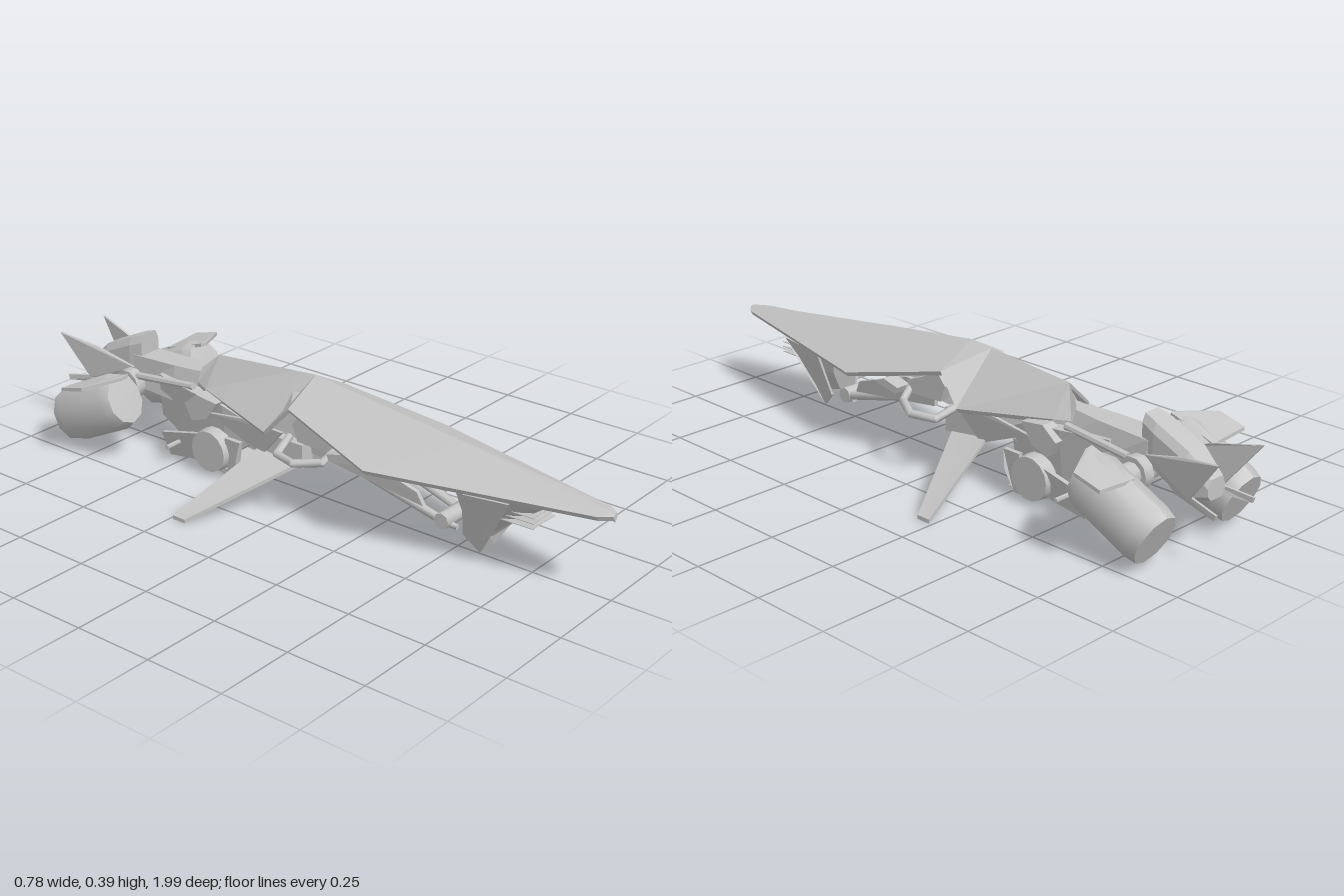
import * as THREE from 'three';
import { toCreasedNormals } from 'three/addons/utils/BufferGeometryUtils.js';

const grey = new THREE.MeshStandardMaterial({ color: 0xc4c4c4, side: THREE.DoubleSide });
grey.name = 'hull grey';

// Makes a closed solid face outwards and gives it creased normals.
function finish(geo, crease) {
  const g = geo.index ? geo.toNonIndexed() : geo;
  g.deleteAttribute('uv');
  const p = g.attributes.position;
  const a = new THREE.Vector3(), b = new THREE.Vector3(), c = new THREE.Vector3();
  let volume = 0;
  for (let i = 0; i < p.count; i += 3) {
    a.fromBufferAttribute(p, i);
    volume += a.dot(b.fromBufferAttribute(p, i + 1).cross(c.fromBufferAttribute(p, i + 2)));
  }
  if (volume < 0) {
    for (let i = 0; i < p.count; i += 3) {
      b.fromBufferAttribute(p, i + 1);
      c.fromBufferAttribute(p, i + 2);
      p.setXYZ(i + 1, c.x, c.y, c.z);
      p.setXYZ(i + 2, b.x, b.y, b.z);
    }
  }
  return toCreasedNormals(g, crease);
}

// Skins a list of equal-length point loops and caps both ends.
function loft(loops) {
  const n = loops[0].length, last = (loops.length - 1) * n, index = [];
  for (let s = 0; s < loops.length - 1; s++) {
    for (let i = 0; i < n; i++) {
      const j = (i + 1) % n, o = s * n;
      index.push(o + i, o + j, o + n + i, o + j, o + n + j, o + n + i);
    }
  }
  for (let i = 1; i < n - 1; i++) index.push(0, i + 1, i, last, last + i, last + i + 1);
  const g = new THREE.BufferGeometry();
  g.setAttribute('position', new THREE.Float32BufferAttribute(loops.flat(2), 3));
  g.setIndex(index);
  return g;
}

// Side profile of [z, y] points, extruded from x0 to x1.
const slab = (x0, x1, profile) => loft([x0, x1].map(x => profile.map(([z, y]) => [x, y, z])));
// Thin plate with thickness given as an offset.
const plate = (pts, [dx, dy, dz]) => loft([pts, pts.map(([x, y, z]) => [x + dx, y + dy, z + dz])]);
// Symmetric hull from [z, topY, topHalfWidth, bottomY, bottomHalfWidth] stations.
const hull = stations => loft(stations.map(([z, t, tw, b, bw]) =>
  [[-tw, t, z], [tw, t, z], [bw, b, z], [-bw, b, z]]));

// Round bar between two points.
function rod(from, to, r0, r1 = r0, sides = 8) {
  const a = new THREE.Vector3(...from), d = new THREE.Vector3(...to).sub(a);
  const g = new THREE.CylinderGeometry(r1, r0, d.length(), sides);
  g.applyQuaternion(new THREE.Quaternion().setFromUnitVectors(new THREE.Vector3(0, 1, 0), d.clone().normalize()));
  return g.translate(a.x + d.x / 2, a.y + d.y / 2, a.z + d.z / 2);
}

export function createModel() {
  const model = new THREE.Group();
  model.name = 'hoverBike';
  const add = (name, geo, crease = 0.15) => {
    const mesh = new THREE.Mesh(finish(geo, crease), grey);
    mesh.name = name;
    model.add(mesh);
  };
  const pair = (name, geo, crease) => {
    add(name + 'Left', geo.clone(), crease);
    add(name + 'Right', geo.clone().scale(-1, 1, 1), crease);
  };

  // Long peaked shell: z, ridge height, edge half-width, edge height
  const shell = [
    [0.995, 0.26, 0.012, 0.255], [0.96, 0.265, 0.04, 0.255], [0.31, 0.35, 0.2, 0.253],
    [-0.02, 0.39, 0.128, 0.323], [-0.1, 0.383, 0.145, 0.235], [-0.4, 0.357, 0.065, 0.265],
  ];
  add('topShell', loft(shell.map(([z, ridge, w, edge]) => [
    [0, ridge, z], [w, edge, z], [w - 0.008, edge - 0.014, z],
    [0, ridge - 0.025, z], [0.008 - w, edge - 0.014, z], [-w, edge, z],
  ])));
  pair('shellTail', plate([[0, 0.357, -0.4], [0.065, 0.265, -0.4], [0.045, 0.268, -0.45], [0.025, 0.31, -0.45]], [0, -0.012, 0]));

  // Body under the shell
  add('forwardHull', hull([
    [0.82, 0.245, 0.05, 0.232, 0.04], [0.5, 0.26, 0.08, 0.215, 0.07],
    [0.15, 0.3, 0.05, 0.215, 0.07], [-0.1, 0.32, 0.03, 0.18, 0.06], [-0.4, 0.3, 0.02, 0.14, 0.06],
  ]));
  add('spine', hull([[-0.38, 0.3, 0.02, 0.2, 0.06], [-0.55, 0.295, 0.04, 0.19, 0.065], [-0.72, 0.29, 0.045, 0.19, 0.05]]));
  add('rearHull', hull([
    [-0.24, 0.2, 0.06, 0.12, 0.05], [-0.32, 0.24, 0.085, 0.06, 0.06],
    [-0.44, 0.25, 0.085, 0.045, 0.06], [-0.6, 0.26, 0.06, 0.12, 0.05],
  ]));
  pair('flankPanel', plate([[0.1, 0.23, -0.06], [0.085, 0.13, -0.15], [0.1, 0.215, -0.35], [0.1, 0.235, -0.2]], [0.01, 0, 0]));
  pair('hipFairing', slab(0.06, 0.108, [[-0.32, 0.25], [-0.36, 0.19], [-0.42, 0.17], [-0.45, 0.22], [-0.4, 0.26]]));
  pair('rearStrut', rod([0.065, 0.26, -0.45], [0.075, 0.24, -0.68], 0.012));

  // Lower tray with an open frame at its front
  add('trayFloor', slab(-0.08, 0.08, [[-0.41, 0.045], [-0.42, 0.033], [-0.54, 0.012], [-0.55, 0.03]]));
  pair('traySide', plate([[0.082, 0.03, -0.41], [0.082, 0.012, -0.54], [0.1, 0.09, -0.56], [0.105, 0.13, -0.4]], [-0.015, 0, 0]));
  add('frameSill', slab(-0.083, 0.083, [[-0.25, 0.026], [-0.28, 0.01], [-0.31, 0.01], [-0.42, 0.033], [-0.42, 0.043]]));
  pair('framePost', plate([[0.083, 0.01, -0.27], [0.102, 0.085, -0.25], [0.095, 0.14, -0.24], [0.095, 0.14, -0.3], [0.083, 0.01, -0.3]], [-0.015, 0, 0]));
  pair('sideDisc', rod([0.07, 0.085, -0.355], [0.112, 0.085, -0.355], 0.07, 0.066, 14), 0.6);
  pair('footPeg', rod([0.06, 0.075, -0.49], [0.15, 0.075, -0.49], 0.007), 0.9);

  // Nose wedge, cheek blades and vents
  add('noseWedge', loft([
    [[-0.085, 0.24, 0.72], [0, 0.235, 0.82], [0.085, 0.24, 0.72], [0.07, 0.24, 0.52], [-0.07, 0.24, 0.52]],
    [[-0.07, 0.15, 0.64], [0, 0.15, 0.7], [0.07, 0.15, 0.64], [0.05, 0.15, 0.54], [-0.05, 0.15, 0.54]],
    [[-0.008, 0.07, 0.6], [0, 0.07, 0.615], [0.008, 0.07, 0.6], [0.008, 0.08, 0.56], [-0.008, 0.08, 0.56]],
  ]));
  pair('cheekBlade', plate([[0.085, 0.235, 0.72], [0.075, 0.14, 0.64], [0.03, 0.028, 0.6], [0.045, 0.075, 0.55], [0.085, 0.22, 0.57]], [0.008, 0, 0]));
  for (let i = 0; i < 3; i++) {
    const y = 0.148 + i * 0.016;
    pair('noseVent' + i, plate([[0, y, 0.76], [0.055, y + 0.016, 0.78], [0.06, y + 0.016, 0.62], [0, y, 0.62]], [0, 0.002, 0]));
  }

  // Slender fork running from the nose hub to the hull
  pair('forkRail', rod([0.045, 0.09, 0.48], [0.07, 0.205, 0.06], 0.013), 0.9);
  pair('forkPlate', plate([[0.05, 0.125, 0.42], [0.055, 0.165, 0.4], [0.08, 0.25, 0.16], [0.085, 0.25, 0.04], [0.08, 0.19, 0.04]], [0.014, 0, 0]));
  add('forkHub', rod([-0.06, 0.095, 0.48], [0.06, 0.095, 0.48], 0.025), 0.9);
  pair('hubTip', rod([0.035, 0.085, 0.46], [0.035, 0.08, 0.52], 0.014, 0.008), 0.9);

  // Handle loops and their fairings
  const grip = [[0.085, 0.24, 0.14], [0.145, 0.2, 0.12], [0.187, 0.192, 0.045], [0.162, 0.19, -0.035], [0.085, 0.215, -0.05]];
  for (let i = 0; i < grip.length - 1; i++) {
    pair('handleBar' + i, rod(grip[i], grip[i + 1], 0.012), 0.9);
    if (i) pair('handleElbow' + i, new THREE.SphereGeometry(0.012, 8, 6).translate(...grip[i]), 0.9);
  }
  pair('handleFairing', slab(0.08, 0.11, [[0.14, 0.25], [0.01, 0.305], [-0.02, 0.27], [0, 0.22], [0.12, 0.215]]));
  pair('handleBracket', slab(0.1, 0.15, [[0.24, 0.23], [0.2, 0.25], [0.14, 0.235], [0.15, 0.215]]));

  // Drooping side wings
  pair('sideWing', plate([[0.06, 0.13, -0.01], [0.39, 0.002, -0.195], [0.39, 0.002, -0.24], [0.06, 0.15, -0.16]], [0, 0.012, 0]));
  pair('wingRoot', slab(0.04, 0.09, [[0.0, 0.2], [0.0, 0.125], [-0.15, 0.135], [-0.18, 0.2]]));

  // Twin engines on a cross axle
  const outline = [[0, -0.135], [0.074, -0.135], [0.08, -0.1], [0.08, 0.1], [0.068, 0.133], [0, 0.138]]
    .map(([r, h]) => new THREE.Vector2(r, h));
  const engine = new THREE.LatheGeometry(outline, 10);
  engine.scale(0.98, 1, 1.13).rotateX(Math.atan2(0.23, 0.11)).translate(0.184, 0.152, -0.748);
  pair('engine', engine, 0.68);
  add('engineAxle', rod([-0.14, 0.205, -0.71], [0.14, 0.205, -0.71], 0.035, 0.035, 10), 0.7);
  pair('axleCollar', rod([0.06, 0.205, -0.71], [0.095, 0.205, -0.71], 0.05, 0.05, 10), 0.7);
  pair('engineFin', plate([[0.165, 0.275, -0.63], [0.19, 0.272, -0.63], [0.305, 0.258, -0.69], [0.305, 0.235, -0.78], [0.165, 0.225, -0.78]], [0, 0.011, 0]));

  // Tail pod with raised and lowered fins
  add('tailPod', loft([
    [-0.695, 0.358, 0.28, 0.038], [-0.74, 0.342, 0.2, 0.048], [-0.85, 0.293, 0.15, 0.048], [-0.92, 0.23, 0.17, 0.036],
  ].map(([z, t, b, w]) => [[-w * 0.7, t, z], [w * 0.7, t, z], [w, t - 0.025, z], [w, b + 0.015, z], [w * 0.6, b, z], [-w * 0.6, b, z], [-w, b + 0.015, z], [-w, t - 0.025, z]])));
  pair('upperTailFin', plate([[0.052, 0.25, -0.72], [0.072, 0.29, -0.86], [0.1, 0.315, -0.995], [0.078, 0.18, -0.89], [0.052, 0.2, -0.78]], [-0.008, 0, 0]));
  pair('lowerTailFin', plate([[0.045, 0.2, -0.78], [0.085, 0.168, -0.985], [0.085, 0.152, -0.98], [0.045, 0.165, -0.82]], [-0.008, 0, 0]));

  return model;
}
